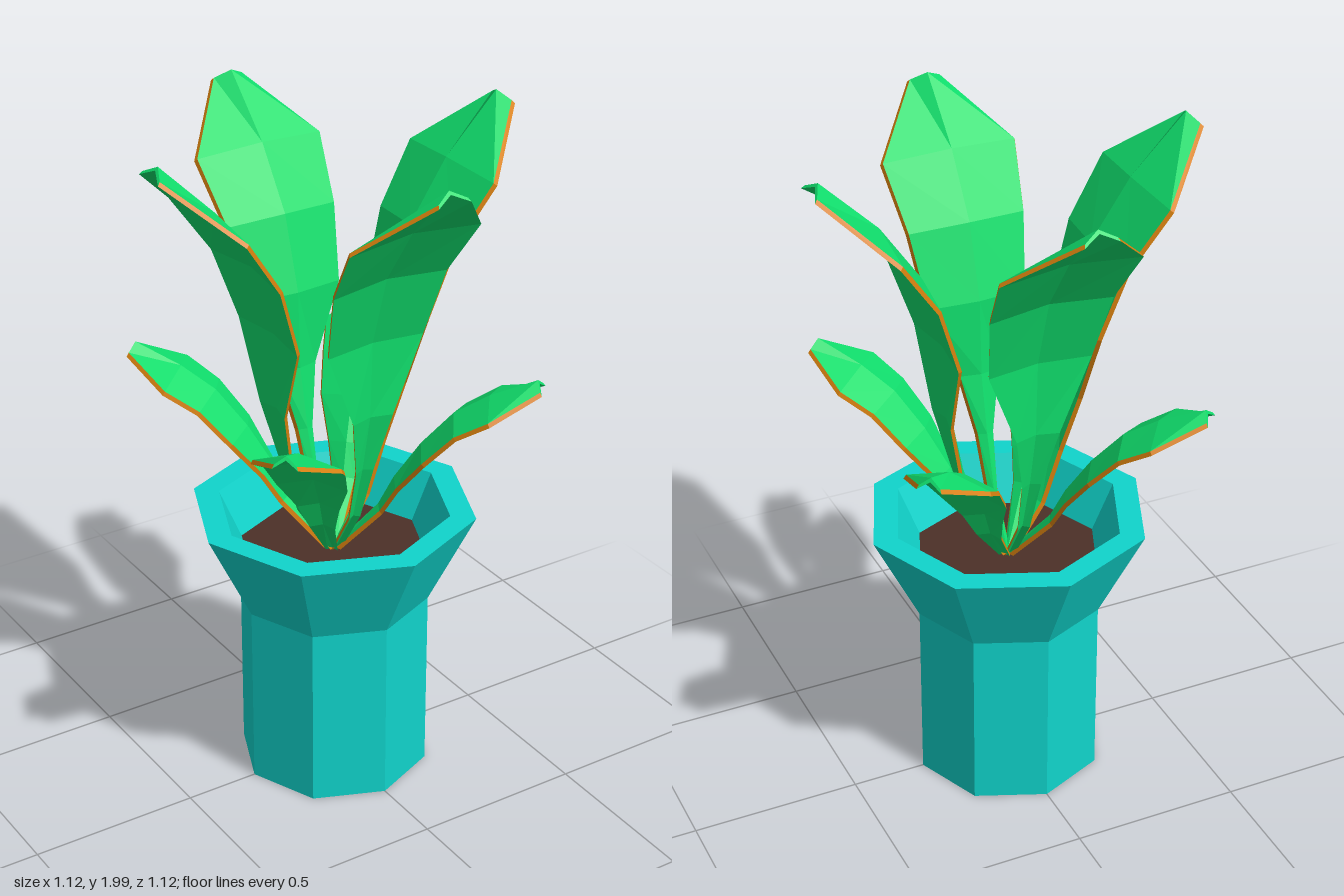
import * as THREE from 'three';

const paint = (name, color) => Object.assign(new THREE.MeshStandardMaterial({ color }), { name });

// flat-faced geometry from a list of quads
function quadGeometry(quads) {
  const pos = [];
  for (const [a, b, c, d] of quads) for (const p of [a, b, c, a, c, d]) pos.push(p.x, p.y, p.z);
  const g = new THREE.BufferGeometry();
  g.setAttribute('position', new THREE.Float32BufferAttribute(pos, 3));
  g.computeVertexNormals();
  return g;
}

// leaf sections: [distance from centre, height, half width, midrib rise]
const LARGE = [
  [0, 0.69, 0.01, 0.008], [0.1, 0.85, 0.014, 0.01], [0.15, 1.02, 0.024, 0.012],
  [0.19, 1.2, 0.06, 0.015], [0.202, 1.43, 0.148, 0.018], [0.27, 1.64, 0.175, 0.022],
  [0.385, 1.81, 0.2, 0.022], [0.553, 1.966, 0.045, 0.03],
];
const SMALL = [
  [0, 0.69, 0.01, 0.008], [0.14, 0.85, 0.032, 0.012], [0.19, 0.94, 0.055, 0.018],
  [0.27, 1.05, 0.095, 0.025], [0.36, 1.15, 0.108, 0.028],
  [0.456, 1.21, 0.12, 0.03], [0.585, 1.275, 0.03, 0.025],
];

// tented blade with a thin coloured rim, growing towards +z
function leafGeometries(sections) {
  const thick = 0.012;
  const rows = sections.map(([r, y, w, rise], i) => {
    const p = sections[Math.max(i - 1, 0)], q = sections[Math.min(i + 1, sections.length - 1)];
    const n = new THREE.Vector3(0, q[0] - p[0], p[1] - q[1]).normalize();
    const at = (x, lift) => new THREE.Vector3(x, y, r).addScaledVector(n, lift);
    const low = w + 0.005;
    return {
      top: [at(-w, 0), at(0, rise), at(w, 0)],
      under: [at(-low, -thick), at(0, rise - thick), at(low, -thick)],
    };
  });
  const blade = [], rim = [];
  for (let i = 0; i + 1 < rows.length; i++) {
    const a = rows[i], b = rows[i + 1];
    for (const k of [0, 1]) {
      blade.push([a.top[k], b.top[k], b.top[k + 1], a.top[k + 1]]);
      blade.push([a.under[k], a.under[k + 1], b.under[k + 1], b.under[k]]);
    }
    rim.push([a.under[2], a.top[2], b.top[2], b.under[2]]);
    rim.push([a.under[0], b.under[0], b.top[0], a.top[0]]);
  }
  const end = rows[rows.length - 1];
  for (const k of [0, 1]) blade.push([end.under[k], end.under[k + 1], end.top[k + 1], end.top[k]]);
  return [quadGeometry(blade), quadGeometry(rim)];
}

export function createModel() {
  const teal = paint('teal glaze', 0x10d4cb);
  const brown = paint('brown soil', 0x4c3028);
  const green = paint('leaf green', 0x10de6c);
  const orange = paint('orange leaf rim', 0xd9820f);
  const model = new THREE.Group();
  model.name = 'pottedPlant';

  const add = (parent, name, geometry, material) => {
    const mesh = new THREE.Mesh(geometry, material);
    mesh.name = name;
    parent.add(mesh);
    return mesh;
  };

  // eight-sided pot with flared, hollow rim
  const profile = [[0, 0], [0.28, 0], [0.28, 0.56], [0.415, 0.84], [0.34, 0.84], [0.27, 0.69]]
    .map(([r, y]) => new THREE.Vector2(r, y));
  const pot = new THREE.LatheGeometry(profile, 8).toNonIndexed();
  pot.computeVertexNormals();
  add(model, 'pot', pot, teal);

  // soil
  add(model, 'soil', new THREE.CircleGeometry(0.28, 8).rotateX(-Math.PI / 2).translate(0, 0.7, 0), brown);

  // four tall leaves on the axes, four short ones between them
  for (const [name, sections, offset] of [['tallLeaf', LARGE, 0], ['shortLeaf', SMALL, Math.PI / 4]]) {
    const [blade, rim] = leafGeometries(sections);
    for (let i = 0; i < 4; i++) {
      const leaf = new THREE.Group();
      leaf.name = name + (i + 1);
      add(leaf, 'blade', blade, green);
      add(leaf, 'rim', rim, orange);
      leaf.rotation.y = offset + i * Math.PI / 2;
      model.add(leaf);
    }
  }
  return model;
}
